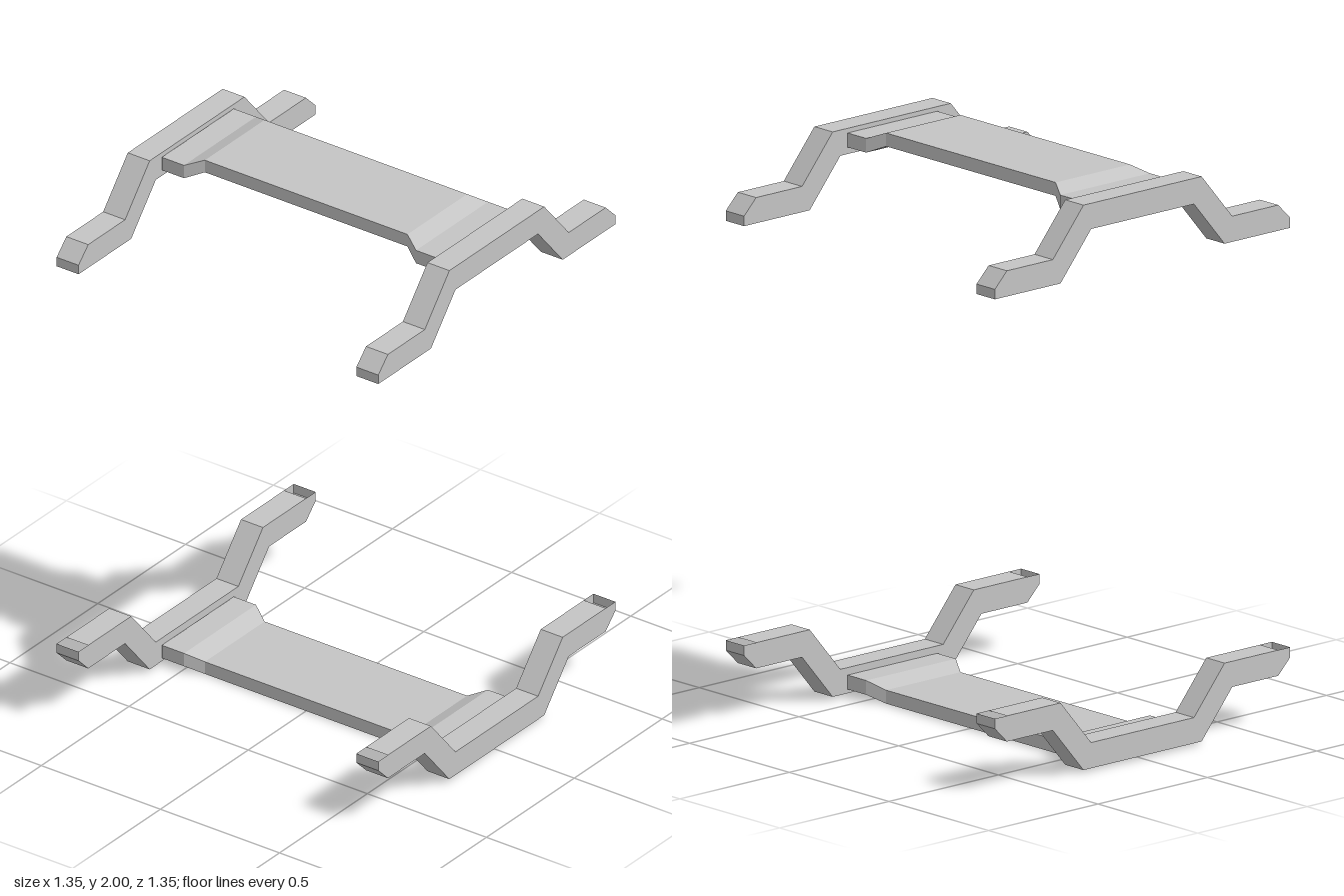
import * as THREE from 'three';

const metal = new THREE.MeshStandardMaterial({ color: 0xc4c4c4, side: THREE.DoubleSide });
metal.name = 'light grey metal';

// Cranked bar: mirrored half profile, extruded, with the inner face of each tip left open
function barGeometry() {
  const half = [
    [0.27, 0.99], [0.41, 0.825], [0.62, 0.825], [0.675, 0.77],
    [0.675, 0.735], [0.62, 0.735], [0.375, 0.735], [0.235, 0.9],
  ];
  const mirrored = half.map(([x, y]) => [-x, y]).reverse();
  const shape = new THREE.Shape([...half, ...mirrored].map(([x, y]) => new THREE.Vector2(x, y)));
  const solid = new THREE.ExtrudeGeometry(shape, { depth: 0.092, bevelEnabled: false });
  const source = solid.index ? solid.toNonIndexed() : solid;
  const p = source.attributes.position;
  const kept = [];
  for (let i = 0; i < p.count; i += 3) {
    const corners = [i, i + 1, i + 2];
    const openTip = corners.every((k) => p.getY(k) < 0.736 && Math.abs(p.getX(k)) > 0.619);
    if (!openTip) corners.forEach((k) => kept.push(p.getX(k), p.getY(k), p.getZ(k)));
  }
  const geometry = new THREE.BufferGeometry();
  geometry.setAttribute('position', new THREE.Float32BufferAttribute(kept, 3));
  geometry.computeVertexNormals();
  return geometry;
}

// Linking plate: a segmented box, wide and stepped inward at both ends
function plateGeometry() {
  const sections = [ // z, half width, bottom, top
    [0.58, 0.205, 0.925, 0.975],
    [0.487, 0.205, 0.925, 0.975],
    [0.425, 0.17, 0.953, 1.0],
  ];
  const box = new THREE.BoxGeometry(2, 2, 5, 1, 1, 5);
  const p = box.attributes.position;
  for (let i = 0; i < p.count; i++) {
    const z = p.getZ(i);
    const [depth, width, bottom, top] = sections[Math.round(2.5 - Math.abs(z))];
    p.setXYZ(i, p.getX(i) * width, p.getY(i) > 0 ? top : bottom, Math.sign(z) * depth);
  }
  const geometry = box.toNonIndexed();
  geometry.computeVertexNormals();
  return geometry;
}

export function createModel() {
  const model = new THREE.Group();
  model.name = 'bracketPair';
  const bar = barGeometry();
  const plate = plateGeometry();

  // The lower bracket is the upper one turned over
  for (const [name, turn] of [['upperBracket', 0], ['lowerBracket', Math.PI]]) {
    const bracket = new THREE.Group();
    bracket.name = name;
    bracket.position.y = 1;
    bracket.rotation.z = turn;

    const link = new THREE.Mesh(plate, metal);
    link.name = 'linkingPlate';
    bracket.add(link);

    for (const [barName, z] of [['frontBar', 0.583], ['backBar', -0.675]]) {
      const mesh = new THREE.Mesh(bar, metal);
      mesh.name = barName;
      mesh.position.z = z;
      bracket.add(mesh);
    }
    model.add(bracket);
  }
  return model;
}
